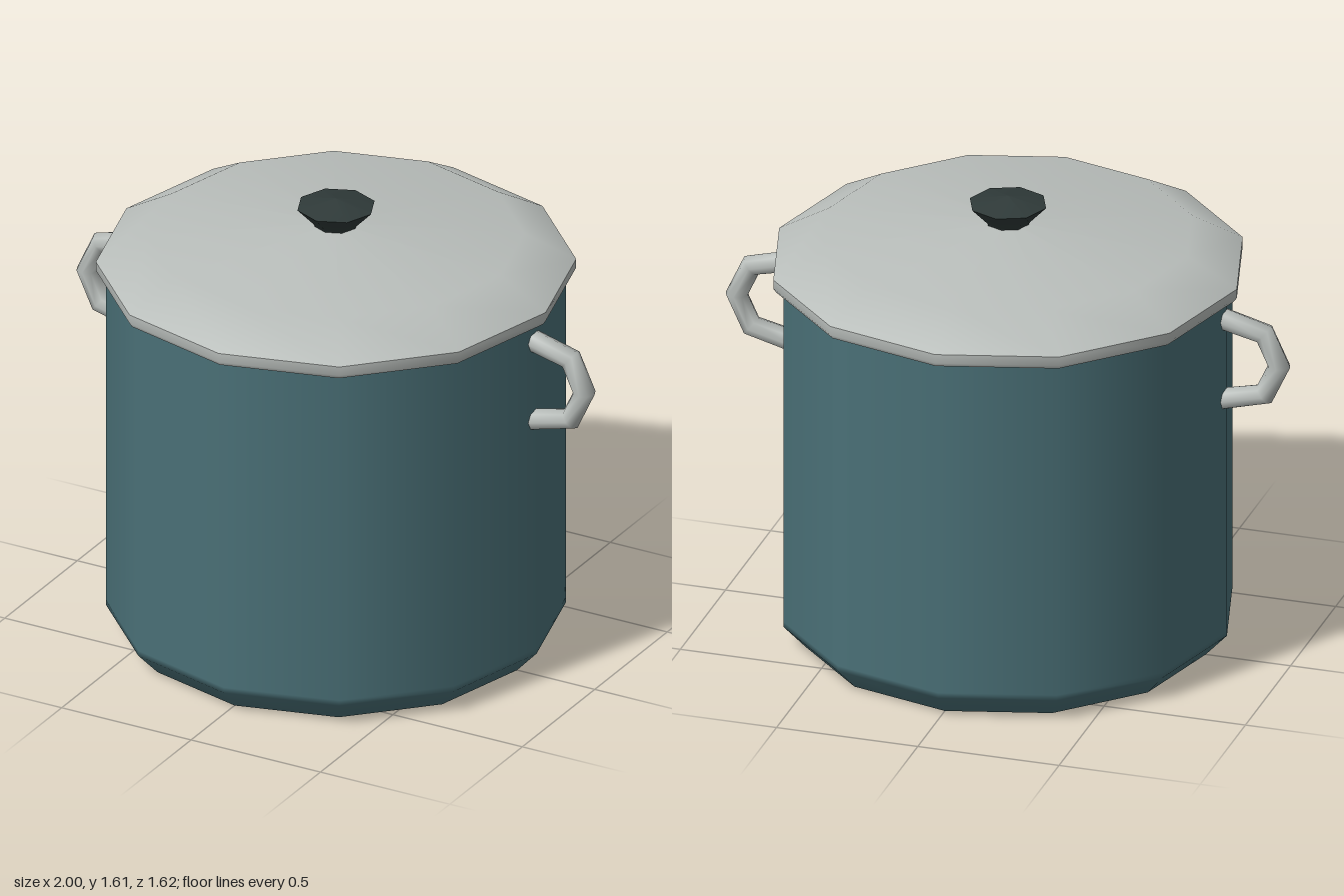
import * as THREE from 'three';

const teal = new THREE.MeshStandardMaterial({ color: 0x4a7077 });
teal.name = 'teal enamel';
const steel = new THREE.MeshStandardMaterial({ color: 0xb9bebb });
steel.name = 'steel';
const dark = new THREE.MeshStandardMaterial({ color: 0x2f3a39 });
dark.name = 'dark knob';

// Turned piece; each profile is smooth within itself, with a sharp edge between profiles
function turned(name, material, sides, profiles) {
  const group = new THREE.Group();
  group.name = name;
  for (const profile of profiles) {
    const points = profile.map(([r, y]) => new THREE.Vector2(r, y));
    const mesh = new THREE.Mesh(new THREE.LatheGeometry(points, sides), material);
    mesh.name = name;
    group.add(mesh);
  }
  return group;
}

// Path with straight pieces and mitred corners
class CornerPath extends THREE.Curve {
  constructor(points) {
    super();
    this.points = points;
  }
  index(t) {
    return Math.round(t * (this.points.length - 1));
  }
  getPoint(t, target = new THREE.Vector3()) {
    return target.copy(this.points[this.index(t)]);
  }
  getPointAt(t, target) {
    return this.getPoint(t, target);
  }
  getTangentAt(t, target = new THREE.Vector3()) {
    const i = this.index(t), p = this.points, last = p.length - 1;
    const here = p[i];
    target.set(0, 0, 0);
    if (i > 0) target.add(here.clone().sub(p[i - 1]).normalize());
    if (i < last) target.add(p[i + 1].clone().sub(here).normalize());
    return target.normalize();
  }
}

export function createModel() {
  const model = new THREE.Group();
  model.name = 'cooking pot';

  // Pot with a chamfered base
  model.add(turned('potBody', teal, 12, [
    [[0, 0], [0.69, 0], [0.7, 0], [0.775, 0.08], [0.775, 0.1], [0.775, 1.34]],
  ]));

  // Lid: underside, rim and shallow dome
  model.add(turned('lid', steel, 12, [
    [[0.7, 1.325], [0.8, 1.325]],
    [[0.8, 1.325], [0.81, 1.34], [0.81, 1.372]],
    [[0.81, 1.372], [0.635, 1.47], [0, 1.515]],
  ]));

  // Knob
  model.add(turned('knob', dark, 8, [
    [[0.075, 1.5], [0.075, 1.515], [0.135, 1.578]],
    [[0.135, 1.578], [0, 1.606]],
  ]));

  // Side handles
  const path = new CornerPath([
    [0.74, 1.262], [0.908, 1.22], [0.96, 1.108], [0.908, 0.997], [0.74, 0.955],
  ].map(([x, y]) => new THREE.Vector3(x, y, 0)));
  const handleGeometry = new THREE.TubeGeometry(path, 4, 0.039, 8, false);
  for (const side of ['left', 'right']) {
    const handle = new THREE.Mesh(handleGeometry, steel);
    handle.name = side + 'Handle';
    if (side === 'right') handle.rotation.y = Math.PI;
    model.add(handle);
  }

  return model;
}
